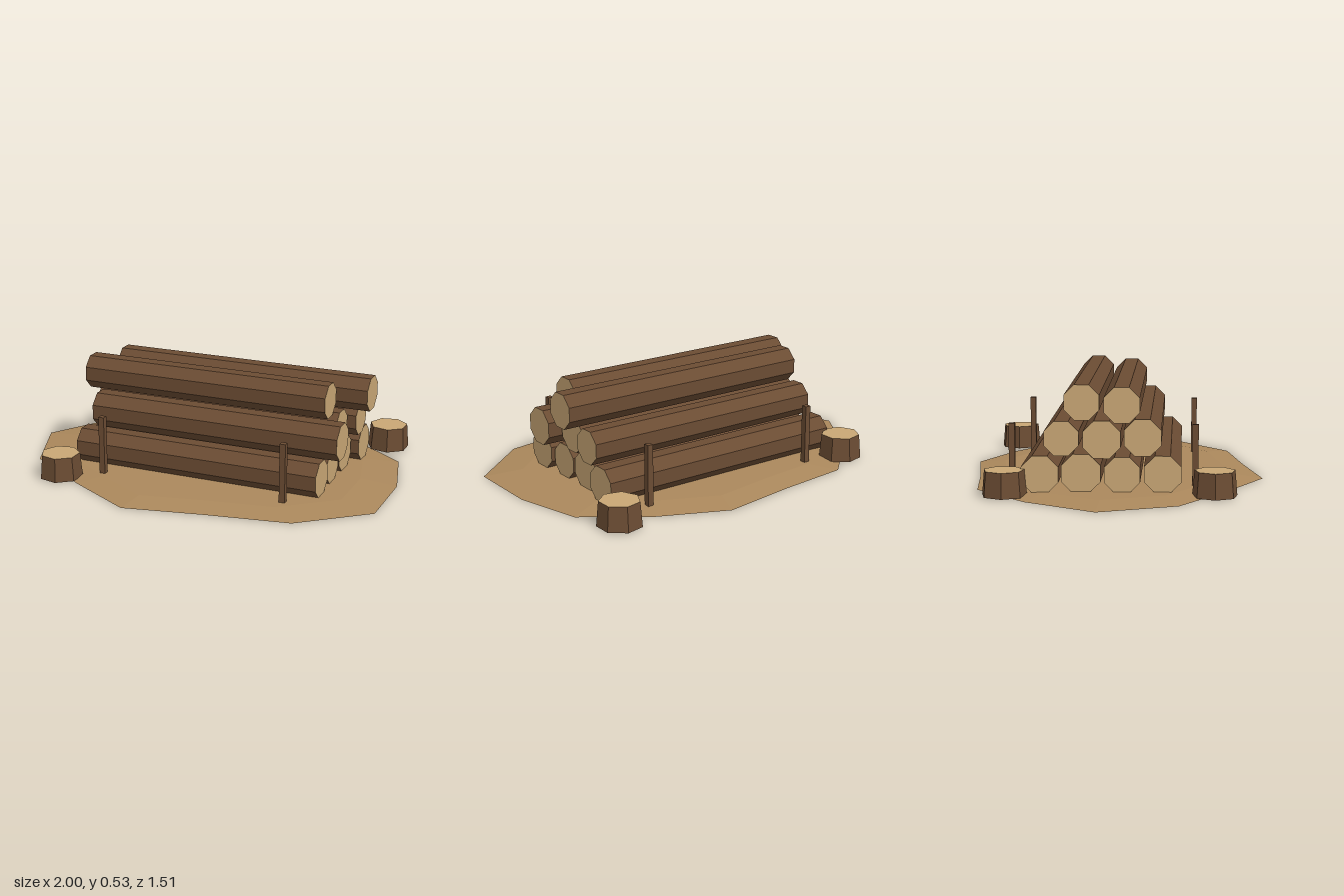
import * as THREE from 'three';

const paint = (color, side = THREE.FrontSide) =>
  new THREE.MeshStandardMaterial({ color, flatShading: true, side });

export function createModel() {
  const model = new THREE.Group();
  const bark = paint(0x6b4c33);
  const cutWood = paint(0xc9a775);
  const soil = paint(0xab885c, THREE.DoubleSide);

  const add = (name, geometry, material, x, y, z) => {
    const mesh = new THREE.Mesh(geometry, material);
    mesh.name = name;
    mesh.position.set(x, y, z);
    model.add(mesh);
  };

  // Ground patch: irregular outline rising to a slightly raised inner ring
  const outline = [
    [0.26, -0.76], [-0.13, -0.7], [-0.51, -0.66], [-0.79, -0.4], [-1, -0.05],
    [-0.85, 0.33], [-0.5, 0.56], [-0.15, 0.755], [0.26, 0.67], [0.675, 0.6],
    [1, 0.33], [1, -0.05], [0.91, -0.39], [0.6, -0.61],
  ];
  const n = outline.length;
  const positions = [0, 0.02, 0];
  const index = [];
  for (const [x, z] of outline) positions.push(x * 0.81, 0.018, z * 0.81);
  for (const [x, z] of outline) positions.push(x, 0, z);
  for (let i = 0; i < n; i++) {
    const a = 1 + i, b = 1 + ((i + 1) % n);
    index.push(0, a, b, a, a + n, b + n, a, b + n, b);
  }
  const ground = new THREE.BufferGeometry();
  ground.setAttribute('position', new THREE.Float32BufferAttribute(positions, 3));
  ground.setIndex(index);
  ground.computeVertexNormals();
  add('ground', ground, soil, 0, 0, 0);

  // Stacked octagonal logs: [left end x, right end x, y, z, half width across flats]
  const logs = [
    [-0.615, 0.7, 0.103, 0.25, 0.09],
    [-0.62, 0.69, 0.1, 0.055, 0.087],
    [-0.62, 0.69, 0.105, -0.143, 0.095],
    [-0.635, 0.73, 0.102, -0.34, 0.09],
    [-0.57, 0.77, 0.273, 0.152, 0.09],
    [-0.635, 0.7, 0.273, -0.042, 0.091],
    [-0.59, 0.74, 0.27, -0.24, 0.084],
    [-0.66, 0.67, 0.443, 0.055, 0.086],
    [-0.57, 0.825, 0.443, -0.143, 0.086],
  ];
  logs.forEach(([x0, x1, y, z, half], i) => {
    const r = half / Math.cos(Math.PI / 8);
    const geometry = new THREE.CylinderGeometry(r, r, x1 - x0, 8)
      .rotateY(Math.PI / 8).rotateZ(Math.PI / 2);
    add(`log${i + 1}`, geometry, [bark, cutWood, cutWood], (x0 + x1) / 2, y, z);
  });

  // Retaining posts in front of and behind the stack
  for (const x of [-0.425, 0.557])
    for (const z of [0.408, -0.497])
      add('post', new THREE.BoxGeometry(0.03, 0.32, 0.03), bark, x, 0.16, z);

  // Seven-sided stumps with a pale cut top
  for (const [x, z] of [[-0.655, -0.51], [0.79, -0.595], [-0.623, 0.5]]) {
    const geometry = new THREE.CylinderGeometry(0.1, 0.111, 0.124, 7).rotateY(-Math.PI / 2);
    add('stump', geometry, [bark, cutWood, bark], x, 0.066, z);
  }

  return model;
}
